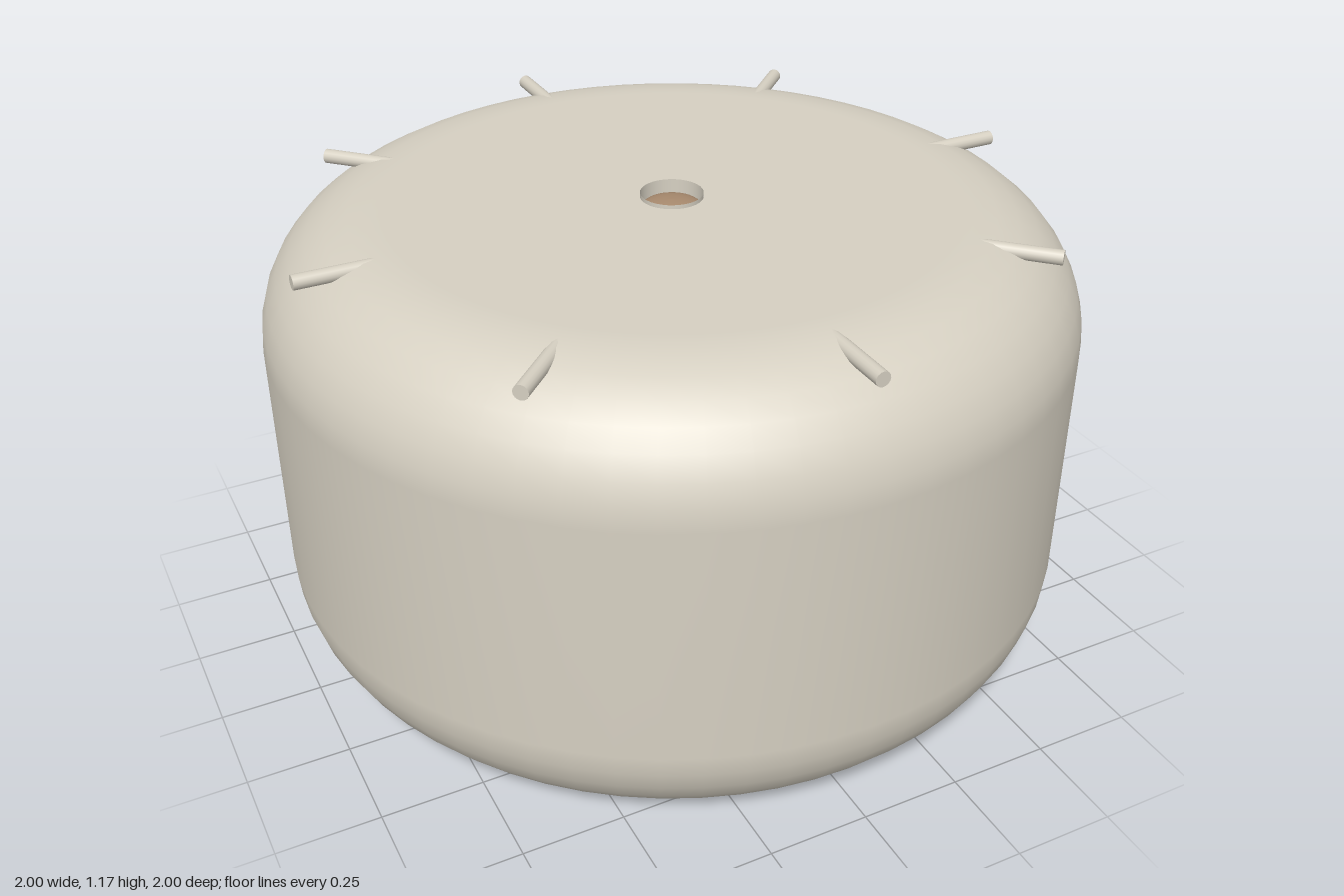
import * as THREE from 'three';

const V = (x, y) => new THREE.Vector2(x, y);

export function createModel() {
  const model = new THREE.Group();
  const shellMat = new THREE.MeshStandardMaterial({ color: 0xd6d0c2 });
  const wellMat = new THREE.MeshStandardMaterial({ color: 0xa88a6e, side: THREE.DoubleSide });
  const add = (name, geometry, material, parent = model) => {
    const mesh = new THREE.Mesh(geometry, material);
    mesh.name = name;
    parent.add(mesh);
    return mesh;
  };

  const height = 1.16, round = 0.28, holeR = 0.077;

  // Drum body: rounded profile, flat bottom, flat top with a central hole
  const profile = [V(0, 0), V(0.69, 0)];
  const steps = 8;
  for (let i = 0; i <= steps; i++) {
    const a = -Math.PI / 2 + (i / steps) * Math.PI / 2;
    profile.push(V(1 - round + round * Math.cos(a), round + round * Math.sin(a)));
  }
  for (let i = 0; i <= steps; i++) {
    const a = (i / steps) * Math.PI / 2;
    profile.push(V(1 - round + round * Math.cos(a), height - round + round * Math.sin(a)));
  }
  profile.push(V(0.69, height), V(holeR, height));
  add('body', new THREE.LatheGeometry(profile, 64), shellMat);

  // Thin collar lining the central hole
  const collarMat = shellMat.clone();
  collarMat.side = THREE.DoubleSide;
  const collar = add('holeCollar',
    new THREE.CylinderGeometry(holeR, holeR, 0.05, 32, 1, true), collarMat);
  collar.position.y = 1.145;

  // Slightly domed plug sunk in the hole
  const dome = [];
  for (let i = 0; i <= 6; i++) {
    const a = (i / 6) * Math.PI / 2;
    dome.push(V(holeR * Math.cos(a), 1.128 + 0.024 * Math.sin(a)));
  }
  dome[6].x = 0;
  add('holePlug', new THREE.LatheGeometry(dome, 32), wellMat);

  // Eight radial pegs set into the upper shoulder
  const pegs = new THREE.Group();
  pegs.name = 'pegs';
  model.add(pegs);
  const pegGeo = new THREE.CylinderGeometry(0.018, 0.018, 0.2, 16);
  pegGeo.rotateZ(Math.PI / 2).translate(0.835, 1.14, 0);
  for (let i = 0; i < 8; i++) {
    add('peg', pegGeo, shellMat, pegs).rotation.y = i * Math.PI / 4;
  }
  return model;
}
